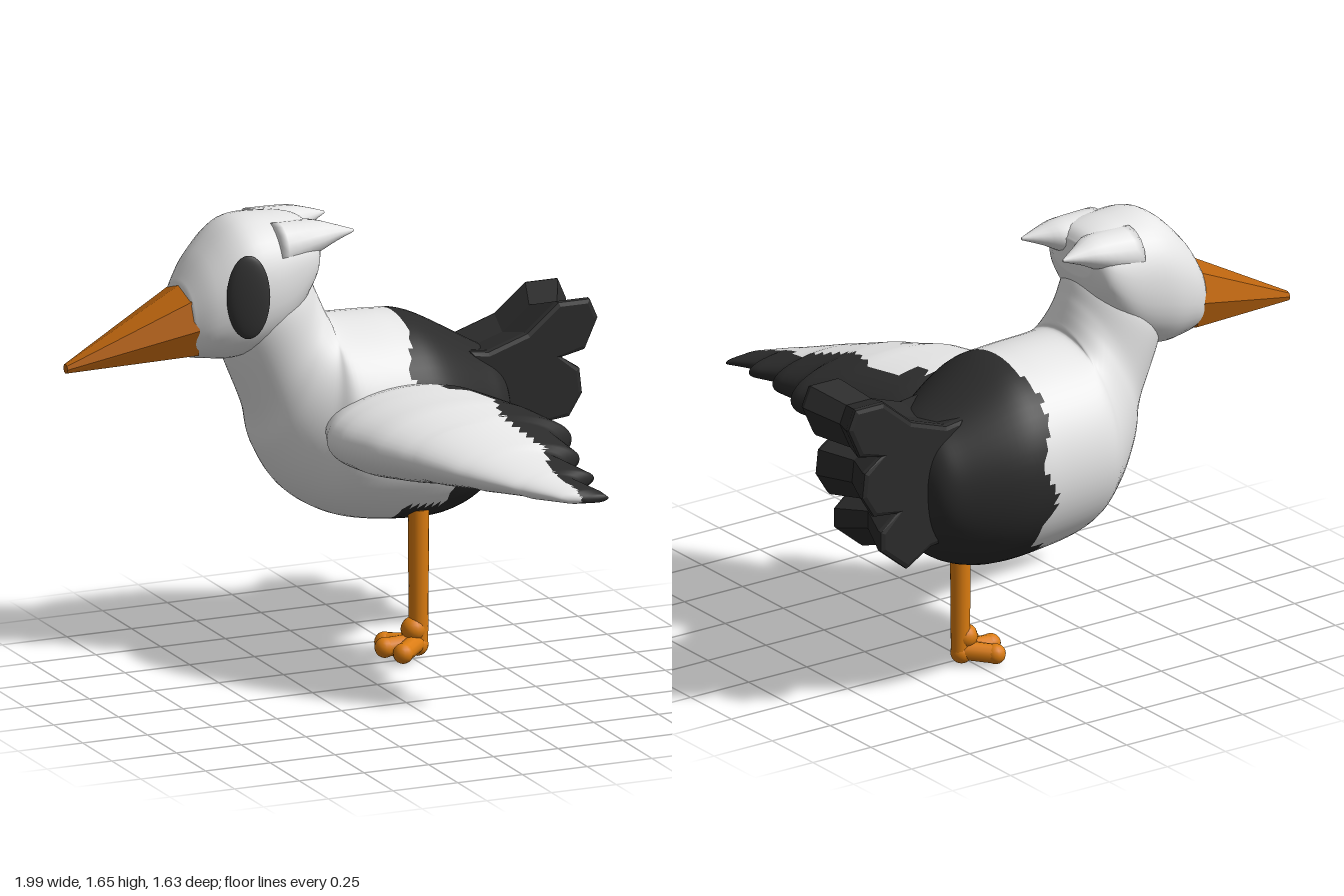
import * as THREE from 'three';

const mat = (name, color) => Object.assign(new THREE.MeshStandardMaterial({ color }), { name });
const MID = -0.455; // z of the bird's own centre plane

// Cross-section standing between a lower and an upper point, with half width w across z
const upright = ([bx, by, tx, ty, w, z = MID]) => [
  (bx + tx) / 2, (by + ty) / 2, z, (tx - bx) / 2, (ty - by) / 2, 0, 0, 0, w];
// Cross-section of the wing at z, from leading to trailing edge
const wingSection = ([z, lead, trail, lo, hi]) => [
  (lead + trail) / 2, (lo + hi) / 2, z, (trail - lead) / 2, 0, 0, 0, (hi - lo) / 2, 0];

// Closed skin over elliptical sections; isDark(x, y, z) sends a face to the second material
function loft(sections, { sides = 40, steps = 6, smooth = true, flat = false, power = 1, isDark } = {}) {
  const pos = [], rows = (sections.length - 1) * steps;
  const at = (i) => sections[Math.min(Math.max(i, 0), sections.length - 1)];
  const spline = (a, b, c, d, t) => smooth
    ? b + 0.5 * t * (c - a + t * (2 * a - 5 * b + 4 * c - d + t * (3 * (b - c) + d - a)))
    : b + (c - b) * t;
  const soft = (v) => Math.sign(v) * Math.abs(v) ** power;
  const centres = [];
  for (let r = 0; r <= rows; r++) {
    const i = Math.min(Math.floor(r / steps), sections.length - 2), t = r / steps - i;
    const s = at(i).map((b, k) => spline(at(i - 1)[k], b, at(i + 1)[k], at(i + 2)[k], t));
    if (r === 0 || r === rows) centres.push(s.slice(0, 3));
    for (let j = 0; j < sides; j++) {
      const a = (j / sides) * Math.PI * 2, c = soft(Math.cos(a)), d = soft(Math.sin(a));
      for (let k = 0; k < 3; k++) pos.push(s[k] + s[3 + k] * c + s[6 + k] * d);
    }
  }
  centres.forEach((c) => pos.push(...c));
  const tris = [], end = (rows + 1) * sides;
  for (let j = 0; j < sides; j++) {
    const n = (j + 1) % sides;
    for (let r = 0; r < rows; r++) {
      const a = r * sides + j, b = r * sides + n;
      tris.push([a, b, b + sides], [a, b + sides, a + sides]);
    }
    tris.push([end, n, j], [end + 1, rows * sides + j, rows * sides + n]);
  }
  // Turn the skin outward
  const P = (i) => new THREE.Vector3(pos[3 * i], pos[3 * i + 1], pos[3 * i + 2]);
  const origin = new THREE.Vector3(...centres[0]);
  const volume = tris.reduce((v, [a, b, c]) =>
    v + P(a).sub(origin).dot(P(b).sub(origin).cross(P(c).sub(origin))), 0);
  if (volume < 0) tris.forEach((t) => t.reverse());
  const light = [], dark = [];
  for (const t of tris) {
    const m = P(t[0]).add(P(t[1])).add(P(t[2])).divideScalar(3);
    (isDark && isDark(m.x, m.y, m.z) ? dark : light).push(...t);
  }
  let geo = new THREE.BufferGeometry();
  geo.setAttribute('position', new THREE.Float32BufferAttribute(pos, 3));
  geo.setIndex([...light, ...dark]);
  if (flat) geo = geo.toNonIndexed();
  geo.computeVertexNormals();
  if (isDark) {
    geo.addGroup(0, light.length, 0);
    geo.addGroup(light.length, dark.length, 1);
  }
  return geo;
}

export function createModel() {
  const white = mat('whitePlumage', 0xe6e6e6), black = mat('blackPlumage', 0x2b2b2b);
  const eyeDark = mat('eyeDark', 0x333333);
  const orange = mat('legOrange', 0xdb7c10), amber = mat('beakOrange', 0xbb640e);
  const bird = new THREE.Group();
  const add = (name, geo, material) => {
    const mesh = new THREE.Mesh(geo, material);
    mesh.name = name;
    bird.add(mesh);
    return mesh;
  };

  // Body and neck, dark behind a ragged line
  const bodyDark = (x, y, z) => {
    let edge = 0.23 + 0.025 * Math.sin(y * 22);
    if (z > MID && y < 0.73) edge = y > 0.69 || y < 0.57 ? 0.2 : 0.37;
    else if (z < -0.7) edge += 0.03;
    return x > edge;
  };
  add('body', loft([
    [0.67, 0.8, 0.67, 0.95, 0.09], [0.64, 0.64, 0.62, 1.04, 0.2], [0.55, 0.53, 0.53, 1.1, 0.265],
    [0.4, 0.475, 0.33, 1.21, 0.345], [0.2, 0.478, 0.2, 1.23, 0.36], [0, 0.52, 0, 1.24, 0.352],
    [-0.16, 0.62, -0.02, 1.27, 0.285], [-0.26, 0.77, -0.04, 1.32, 0.235],
    [-0.3, 0.92, -0.06, 1.37, 0.205], [-0.39, 1.15, -0.1, 1.45, 0.2], [-0.4, 1.28, -0.2, 1.5, 0.16],
  ].map(upright), { sides: 56, steps: 7, isDark: bodyDark }), [white, black]);

  // Head
  add('head', loft([
    [-0.555, 1.155, -0.565, 1.42, 0.13], [-0.49, 1.145, -0.49, 1.53, 0.185],
    [-0.37, 1.14, -0.37, 1.635, 0.225], [-0.22, 1.2, -0.22, 1.642, 0.215],
    [-0.11, 1.36, -0.11, 1.62, 0.185], [-0.07, 1.46, -0.07, 1.58, 0.12],
  ].map(upright), { power: 0.9 }), white);

  // Crest spikes
  for (const s of [-1, 1]) {
    add('crestSpike', loft([
      [-0.25, 1.44, -0.25, 1.63, 0.1, MID + s * 0.1], [-0.1, 1.5, -0.1, 1.625, 0.085, MID + s * 0.1],
      [-0.02, 1.54, -0.02, 1.605, 0.045, MID + s * 0.115], [0.055, 1.57, 0.055, 1.58, 0.004, MID + s * 0.127],
    ].map(upright), { sides: 16, steps: 4 }), white);
  }

  // Beak
  add('beak', loft([
    [-0.53, 1.145, -0.56, 1.415, 0.145], [-1, 1.14, -1, 1.175, 0.018],
  ].map(upright), { sides: 8, steps: 1, smooth: false, flat: true, power: 0.85 }), amber);

  // Single eye
  const eye = add('eye', new THREE.SphereGeometry(1, 28, 18), eyeDark);
  eye.scale.set(0.077, 0.153, 0.024);
  eye.position.set(-0.395, 1.408, -0.228);
  eye.rotation.y = -0.33;

  // Wing, with stepped feather tips along the trailing edge
  add('wing', loft([
    [-0.28, -0.08, 0.46, 0.78, 1.01], [-0.1, -0.15, 0.52, 0.73, 1.05], [0, -0.14, 0.55, 0.735, 1.05],
    [0.15, -0.09, 0.59, 0.755, 1.045], [0.27, -0.025, 0.63, 0.775, 1.02], [0.31, 0, 0.56, 0.78, 1.01],
    [0.46, 0.09, 0.575, 0.8, 0.965], [0.5, 0.12, 0.49, 0.805, 0.95], [0.64, 0.23, 0.55, 0.815, 0.91],
    [0.67, 0.26, 0.47, 0.815, 0.9], [0.78, 0.36, 0.52, 0.82, 0.87], [0.81, 0.45, 0.53, 0.825, 0.85],
  ].map(wingSection), {
    sides: 48, steps: 4, smooth: false,
    isDark: (x, y, z) => x > (z < -0.03 ? 0.29 : 0.385 + 0.02 * Math.sin(z * 17)) + (z > 0.45 ? 0.025 : 0),
  }), [white, black]);

  // Tail: three lobes in a fan, notched along the middle
  const outline = [
    [0.5, 1.08], [0.57, 1.07], [0.72, 1.12], [0.84, 1.22], [0.96, 1.22], [0.99, 1.15], [0.94, 1.04],
    [0.85, 1.02], [0.92, 0.97], [0.93, 0.88], [0.88, 0.8], [0.78, 0.79], [0.85, 0.73], [0.85, 0.66],
    [0.74, 0.57], [0.64, 0.63], [0.5, 0.65],
  ].map(([x, y]) => new THREE.Vector2(x, y));
  const tail = new THREE.ExtrudeGeometry(new THREE.Shape(outline), {
    depth: 0.26, steps: 4, bevelThickness: 0.02, bevelSize: 0.02, bevelOffset: -0.014, bevelSegments: 2,
  });
  tail.translate(0, 0, -0.13);
  const p = tail.attributes.position;
  for (let i = 0; i < p.count; i++) {
    const k = 1 - 0.14 * Math.max(0, 1 - Math.abs(p.getZ(i)) / 0.14);
    p.setXY(i, 0.5 + (p.getX(i) - 0.5) * k, 0.9 + (p.getY(i) - 0.9) * k);
  }
  tail.translate(0, 0, MID);
  tail.computeVertexNormals();
  add('tail', tail, black);

  // Single leg and three splayed toes
  const legZ = -0.28;
  const leg = add('leg', new THREE.CylinderGeometry(0.038, 0.034, 0.5, 16), orange);
  leg.position.set(0.285, 0.29, legZ);
  const ankle = add('ankle', new THREE.SphereGeometry(0.04, 16, 12), orange);
  ankle.position.set(0.28, 0.041, legZ);
  for (const [x, y, z] of [[0.155, 0.045, 0], [0.19, 0.04, -0.08], [0.19, 0.04, 0.08]]) {
    const path = new THREE.LineCurve3(new THREE.Vector3(0.28, 0.05, legZ), new THREE.Vector3(x, y, legZ + z));
    add('toe', new THREE.TubeGeometry(path, 2, 0.035, 12), orange);
    const tip = add('toeTip', new THREE.SphereGeometry(0.037, 14, 10), orange);
    tip.position.set(x, y, legZ + z);
  }
  const instep = add('instep', new THREE.SphereGeometry(0.045, 16, 12), orange);
  instep.position.set(0.265, 0.1, legZ);

  return bird;
}
